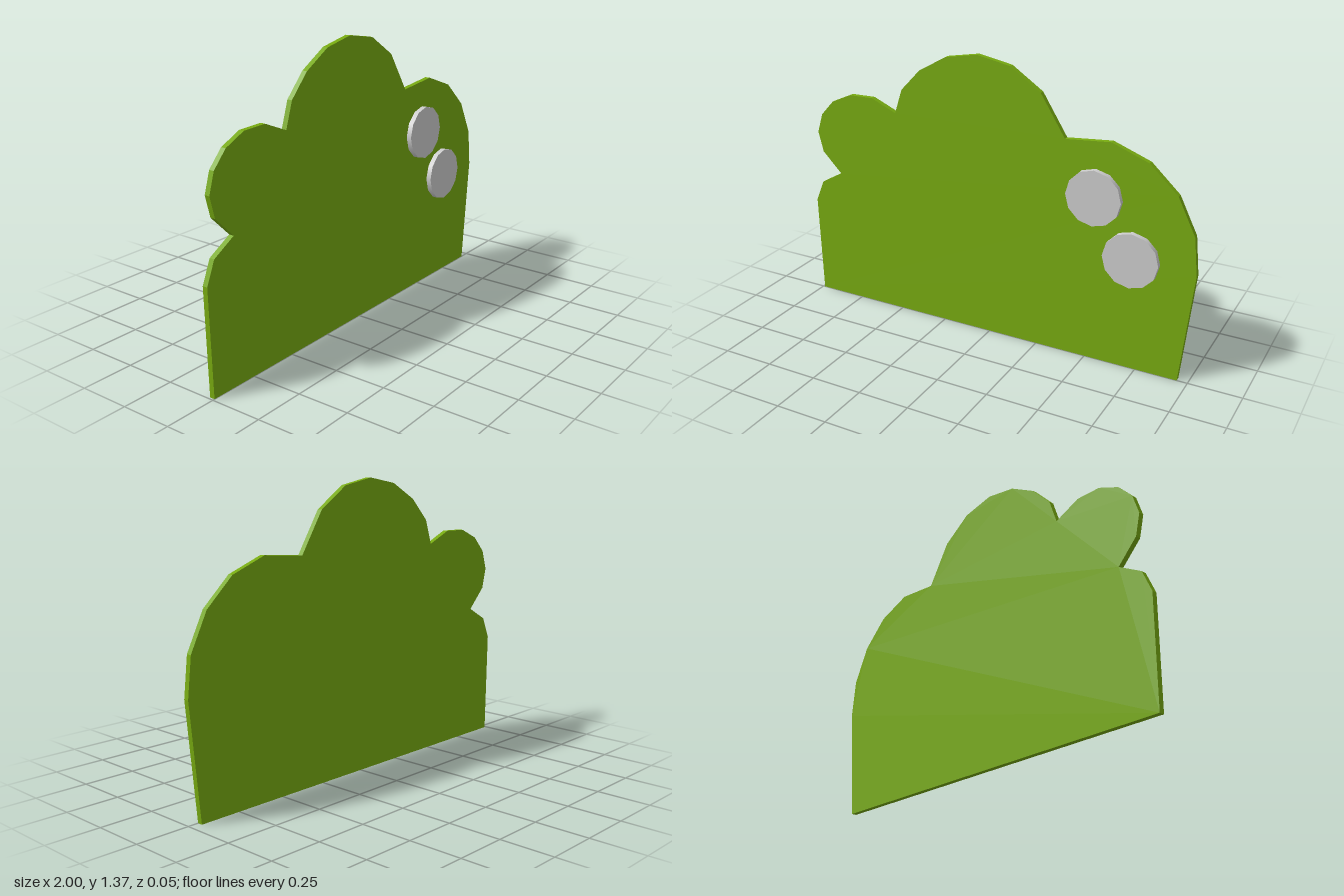
import * as THREE from 'three';

export function createModel() {
  const model = new THREE.Group();
  model.name = 'bushPanel';
  const green = new THREE.MeshStandardMaterial({ name: 'leafGreen', color: 0x77aa11 });
  const grey = new THREE.MeshStandardMaterial({ name: 'lightGrey', color: 0xcccccc });
  const thickness = 0.025;

  // Bush silhouette: base, right lobe, tall middle lobe, left lobe, lower left lobe
  const outline = [
    [-0.99, 0], [0.95, 0],
    [1, 0.53], [0.98, 0.71], [0.895, 0.88], [0.76, 1.005], [0.585, 1.07], [0.37, 1.05],
    [0.25, 1.24], [0.1, 1.34], [-0.065, 1.37], [-0.225, 1.34], [-0.365, 1.26], [-0.465, 1.155], [-0.505, 1.035],
    [-0.635, 1.09], [-0.76, 1.087], [-0.865, 1.04], [-0.935, 0.965], [-0.965, 0.87], [-0.94, 0.77], [-0.84, 0.67],
    [-0.955, 0.605], [-1, 0.5],
  ].map(([x, y]) => new THREE.Vector2(x, y));
  const bush = new THREE.Mesh(
    new THREE.ExtrudeGeometry(new THREE.Shape(outline), { depth: thickness, bevelEnabled: false }),
    green
  );
  bush.name = 'bush';
  bush.position.z = -thickness;
  model.add(bush);

  // Round berries standing on the front face
  const berryGeometry = new THREE.CylinderGeometry(0.131, 0.131, thickness, 12).rotateX(Math.PI / 2);
  [['upperBerry', 0.52, 0.807], ['lowerBerry', 0.705, 0.547]].forEach(([name, x, y]) => {
    const berry = new THREE.Mesh(berryGeometry, grey);
    berry.name = name;
    berry.position.set(x, y, thickness / 2);
    model.add(berry);
  });

  return model;
}
